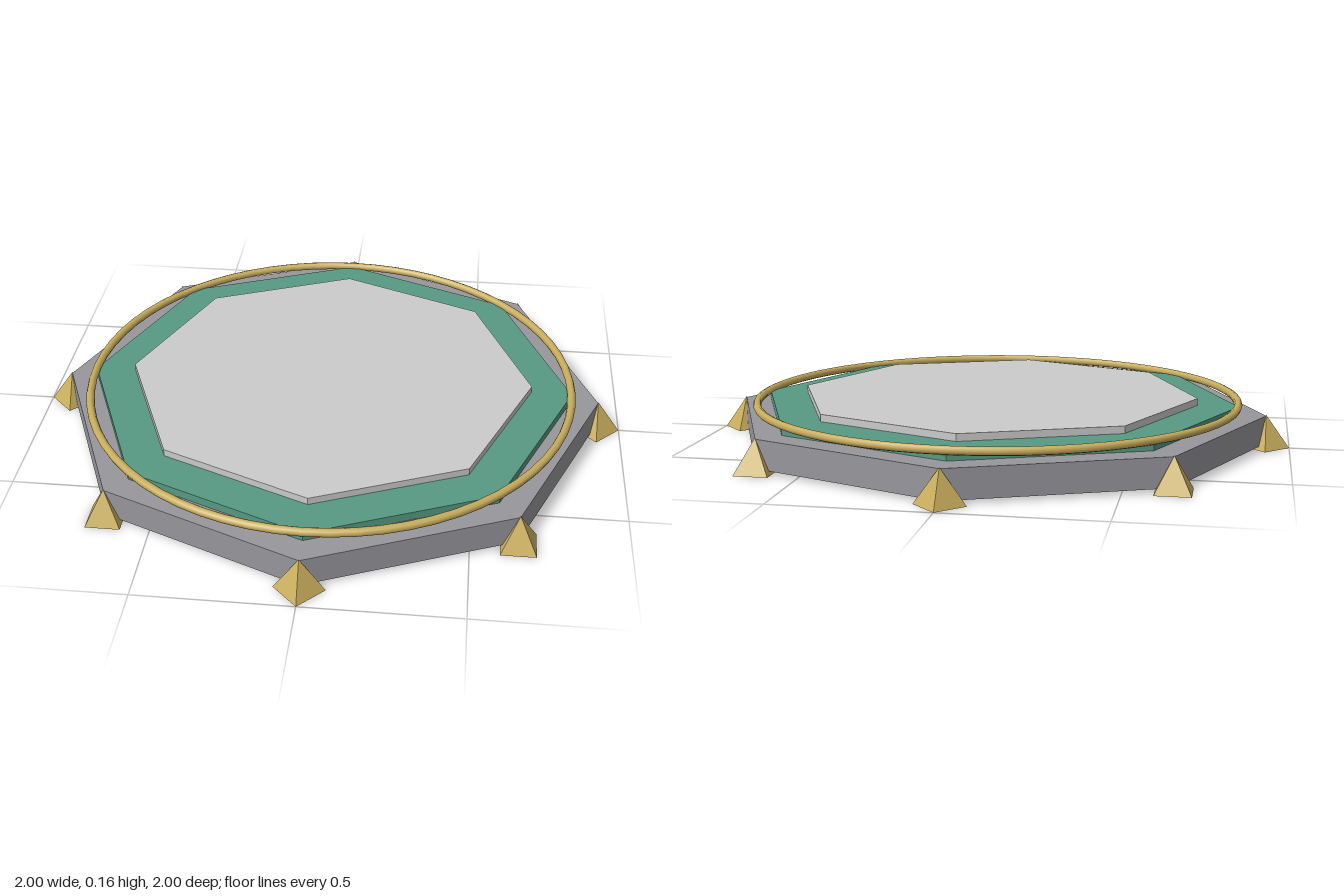
import * as THREE from 'three';

const material = (color, flatShading = true) => new THREE.MeshStandardMaterial({ color, flatShading });

export function createModel() {
  const model = new THREE.Group();
  model.name = 'octagonalPlatform';
  const gold = material(0xc9ae5d);

  // Stacked octagonal slabs, each with a corner on every axis
  const slab = (name, radius, bottom, top, color) => {
    const geometry = new THREE.CylinderGeometry(radius, radius, top - bottom, 8);
    const mesh = new THREE.Mesh(geometry, material(color));
    mesh.name = name;
    mesh.position.y = (bottom + top) / 2;
    model.add(mesh);
  };
  slab('base', 0.92, 0.012, 0.108, 0x98979c);
  slab('greenTier', 0.828, 0.108, 0.136, 0x579a83);
  slab('topPlate', 0.69, 0.136, 0.16, 0xcfcfd2);

  // Round trim hoop
  const hoop = new THREE.Mesh(new THREE.TorusGeometry(0.826, 0.014, 8, 64), material(0xc9ae5d, false));
  hoop.name = 'trimRing';
  hoop.rotation.x = Math.PI / 2;
  hoop.position.y = 0.14;
  model.add(hoop);

  // Four-sided pyramid feet, one edge pointing outward at each corner
  const footGeometry = new THREE.ConeGeometry(0.08, 0.112, 4);
  for (let i = 0; i < 8; i++) {
    const angle = (i * Math.PI) / 4;
    const foot = new THREE.Mesh(footGeometry, gold);
    foot.name = 'cornerFoot';
    foot.position.set(0.92 * Math.sin(angle), 0.056, 0.92 * Math.cos(angle));
    foot.rotation.y = angle;
    model.add(foot);
  }
  return model;
}
